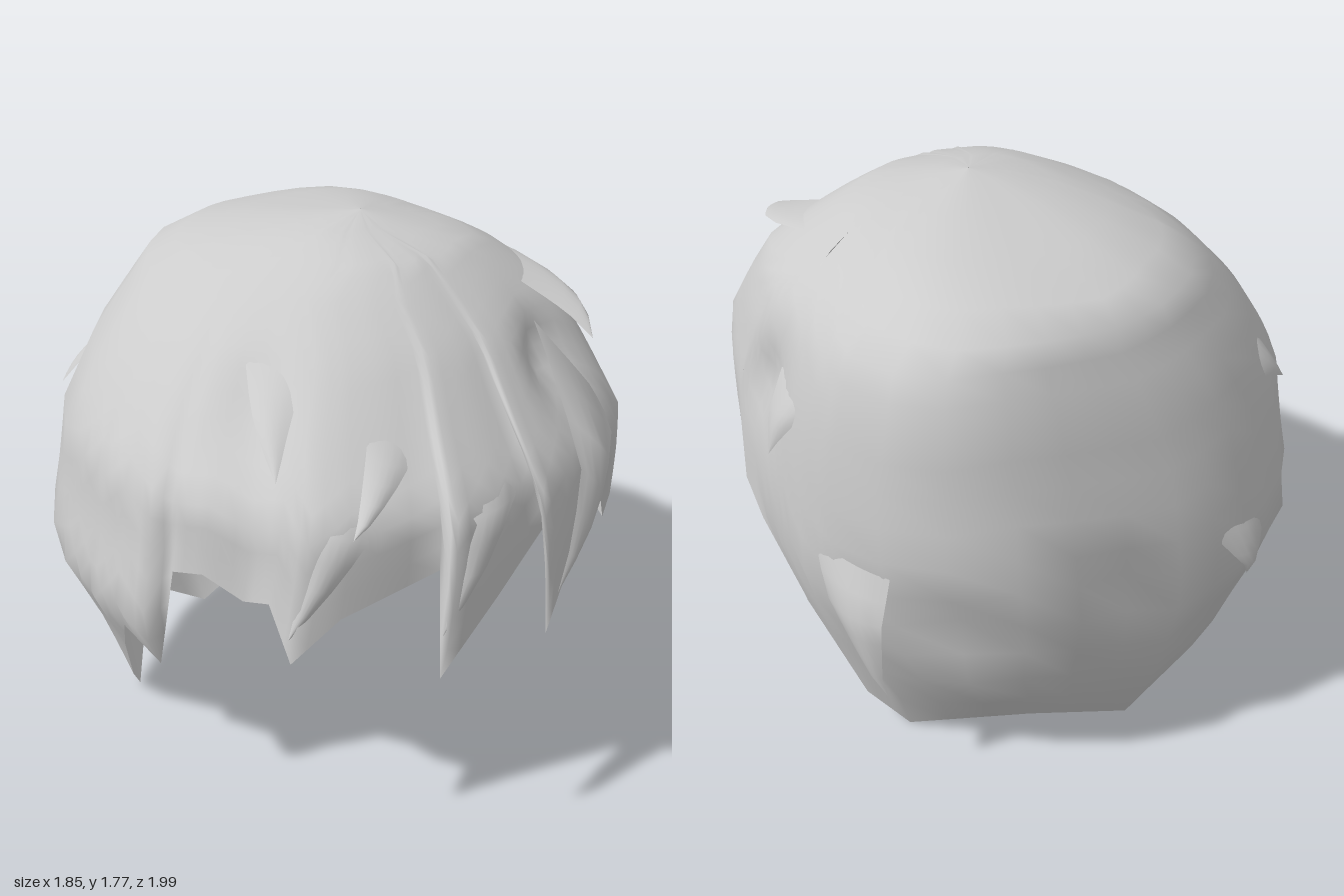
import * as THREE from 'three';

// Head outline by height: y, right x, left x, front z, back z
const RINGS = [
  [1.77, 0.139, 0.141, 0.001, -0.001],
  [1.75, -0.05, 0.25, 0.12, -0.14],
  [1.70, -0.20, 0.46, 0.32, -0.44],
  [1.62, -0.39, 0.63, 0.43, -0.76],
  [1.50, -0.55, 0.78, 0.58, -0.80],
  [1.35, -0.70, 0.84, 0.72, -0.86],
  [1.14, -0.86, 0.89, 0.92, -0.91],
  [0.95, -0.88, 0.91, 0.95, -0.96],
  [0.70, -0.94, 0.93, 0.97, -1.00],
  [0.45, -0.82, 0.87, 0.80, -0.93],
  [0.25, -0.74, 0.79, 0.60, -0.87],
  [0.00, -0.68, 0.74, 0.50, -0.73],
];

// Lower edge, going round from the front towards +x: root angle, x, y, z
const HEM = [
  [3, 0.05, 0.67, 1.00], [11, 0.22, 0.79, 0.92], [23, 0.40, 0.91, 0.82],
  [34, 0.60, 0.88, 0.71], [45, 0.74, 0.68, 0.62], [57, 0.79, 0.77, 0.43],
  [66, 0.85, 0.90, 0.32], [74, 0.89, 1.02, 0.20], [80, 0.91, 0.78, 0.15],
  [88, 0.91, 0.69, 0.03], [98, 0.85, 0.45, -0.15], [108, 0.73, 0.12, -0.32],
  [117, 0.62, 0.00, -0.41], [152, 0.34, 0.17, -0.73], [182, -0.04, 0.00, -0.73],
  [206, -0.30, 0.17, -0.73], [241, -0.56, 0.00, -0.41], [252, -0.64, 0.12, -0.32],
  [262, -0.78, 0.43, -0.14], [266, -0.81, 0.44, -0.08], [273, -0.89, 0.62, 0.06],
  [281, -0.85, 0.53, 0.20], [289, -0.84, 0.90, 0.28], [297, -0.80, 0.92, 0.38],
  [306, -0.74, 0.86, 0.50], [313, -0.72, 0.89, 0.60], [318, -0.72, 0.73, 0.70],
  [325, -0.57, 0.85, 0.75], [341, -0.27, 0.95, 0.85], [345, -0.37, 0.67, 0.97],
  [353, -0.10, 0.83, 0.93], [359, 0.15, 0.97, 0.88],
];

// Hollows between locks: angle, y, depth
const HOLLOWS = [[25, 1.36, 0.09], [87, 1.19, 0.06], [140, 0.66, 0.13], [172, 0.74, 0.10], [-57, 1.36, 0.05]];

// Overlying locks: [angle, y] for two root corners and the tip, then tip lift
const LOCKS = [
  ['crownLock', [32, 1.58], [67, 1.65], [26, 1.45], 0.14],
  ['rightCrownLock', [-64, 1.50], [-46, 1.52], [-50, 1.24], 0.03],
  ['rightFrontLock', [-31, 1.38], [-18, 1.32], [-36, 1.12], 0.02],
  ['leftTempleLock', [90, 1.28], [116, 1.43], [97, 1.03], 0.02],
  ['leftBackLock', [111, 0.84], [130, 0.86], [125, 0.38], 0.01],
  ['lowerBackLock', [188, 0.92], [212, 0.86], [198, 0.66], 0.01],
  ['upperBackLock', [213, 1.24], [235, 1.40], [223, 1.14], 0.01],
  ['frontLock', [25, 1.48], [40, 1.20], [5, 0.80], 0.04],
  ['middleFringeLock', [-12, 1.28], [8, 1.30], [-20, 0.80], 0.03],
  ['sideFringeLock', [-42, 1.30], [-26, 1.24], [-46, 0.80], 0.02],
];

// Point on the head at a height and angle (0 = front), pushed out by lift
function headPoint(angle, y, lift = 0) {
  let i = 0;
  while (i < RINGS.length - 2 && y < RINGS[i + 1][0]) i++;
  const [p, q] = [RINGS[i], RINGS[i + 1]];
  const k = THREE.MathUtils.clamp((p[0] - y) / (p[0] - q[0]), 0, 1);
  const [, x0, x1, zf, zb] = p.map((v, n) => THREE.MathUtils.lerp(v, q[n], k));
  const a = angle * Math.PI / 180, s = Math.sin(a), c = Math.cos(a);
  const n = 2.55 + 0.45 * s + 1.4 * Math.max(0, s) * Math.max(0, -c); // squarest at the back left
  const r = lift + (Math.abs(2 * s / (x1 - x0)) ** n + Math.abs(2 * c / (zf - zb)) ** n) ** (-1 / n);
  return new THREE.Vector3((x0 + x1) / 2 + r * s, y, (zf + zb) / 2 + r * c);
}

// Inward push of the hollows at a place on the shell
function hollowAt(angle, y) {
  return HOLLOWS.reduce((sum, [a, h, depth]) => {
    const da = ((angle - a + 540) % 360 - 180) / 9, dy = (y - h) / 0.12;
    return sum - depth * Math.exp(-(da * da + dy * dy));
  }, 0);
}

// Smooth surface from a grid of points, optionally joined round
function gridGeometry(rows, cols, closed, pointAt) {
  const pos = [], index = [];
  for (let i = 0; i <= rows; i++)
    for (let j = 0; j < cols; j++) pos.push(...pointAt(i / rows, j).toArray());
  for (let i = 0; i < rows; i++)
    for (let j = 0; j < (closed ? cols : cols - 1); j++) {
      const k = (j + 1) % cols;
      const a = i * cols + j, d = i * cols + k, b = a + cols, c = d + cols;
      index.push(a, b, c, a, c, d);
    }
  const g = new THREE.BufferGeometry();
  g.setAttribute('position', new THREE.Float32BufferAttribute(pos, 3));
  g.setIndex(index);
  g.computeVertexNormals();
  return g;
}

// Main shell, drawn down from the crown to the ragged edge
function shellGeometry() {
  const cols = [], split = 3;
  HEM.forEach((h, i) => {
    const next = [...HEM[(i + 1) % HEM.length]];
    if (i === HEM.length - 1) next[0] += 360;
    for (let s = 0; s < split; s++)
      cols.push(h.map((v, n) => THREE.MathUtils.lerp(v, next[n], s / split)));
  });
  return gridGeometry(18, cols.length, true, (t, j) => {
    const [angle, x, y, z] = cols[j];
    const h = 1.77 - (1.77 - y) * t ** 1.7;
    const pull = new THREE.Vector3(x, y, z).sub(headPoint(angle, y));
    return headPoint(angle, h, hollowAt(angle, h) * (1 - t ** 6)).addScaledVector(pull, t ** 3);
  });
}

// Tapering lock that emerges from the shell along its first edge and at its tip
function lockGeometry(a, b, tip, lift) {
  const n = 6;
  return gridGeometry(6, n + 1, false, (t, j) => {
    const u = j / n, mix = THREE.MathUtils.lerp;
    const angle = mix(mix(a[0], b[0], u), tip[0], t);
    const y = mix(mix(a[1], b[1], u), tip[1], t);
    const bulge = 0.02 * Math.sin(Math.PI * u) * Math.sin(Math.PI * t);
    return headPoint(angle, y, mix(-0.03, lift, t) + bulge - 0.03 * u * (1 - t));
  });
}

export function createModel() {
  const hair = new THREE.MeshStandardMaterial({ color: 0xcccccc, side: THREE.DoubleSide });
  hair.name = 'light grey hair';
  const model = new THREE.Group();
  model.name = 'hair';
  const add = (name, geometry) => {
    const mesh = new THREE.Mesh(geometry, hair);
    mesh.name = name;
    model.add(mesh);
  };
  add('hairShell', shellGeometry());
  for (const [name, a, b, tip, lift] of LOCKS) add(name, lockGeometry(a, b, tip, lift));
  return model;
}
